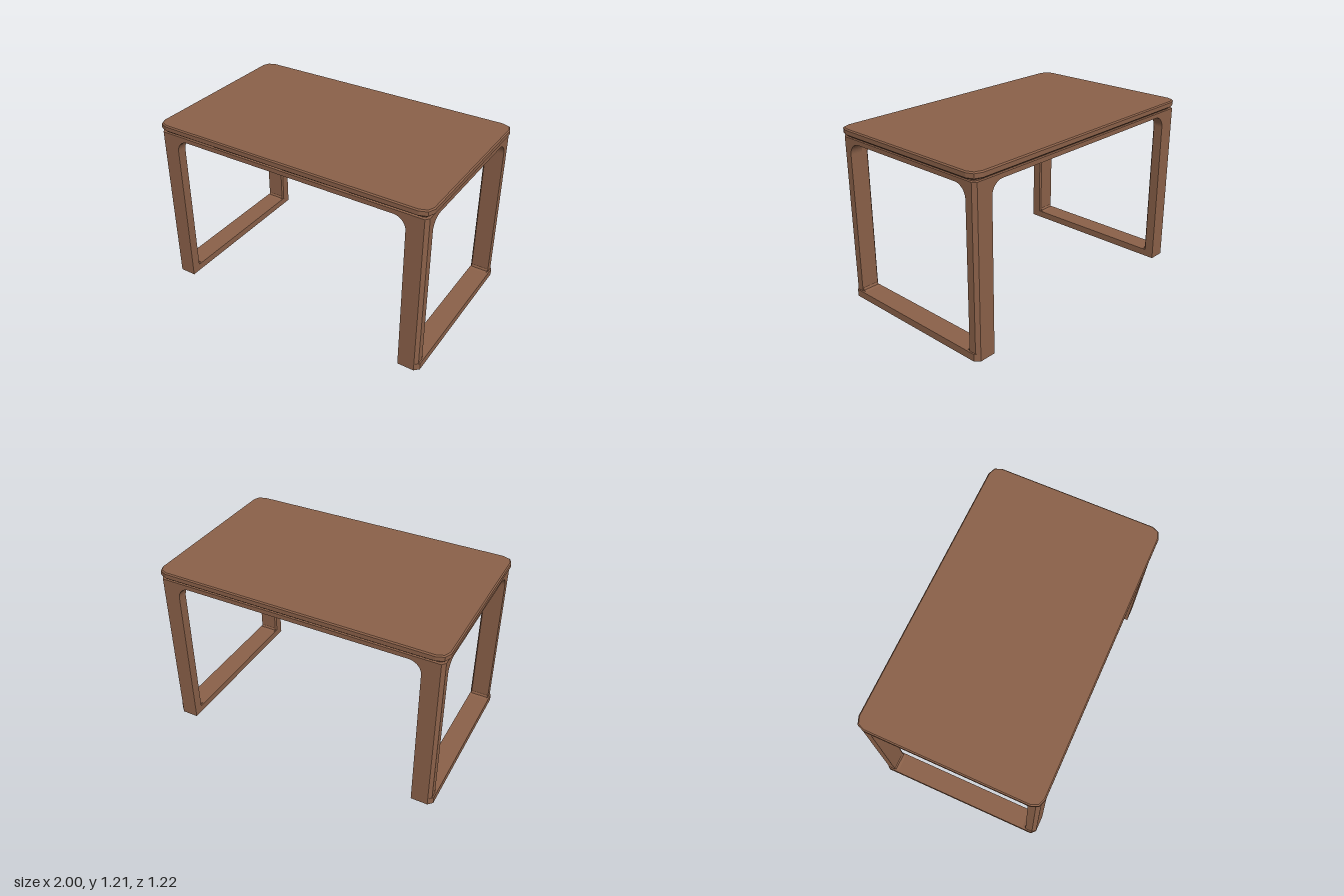
import * as THREE from 'three';

const wood = new THREE.MeshStandardMaterial({ color: 0x8b6149 });
wood.name = 'walnutBrown';

function shapeOf(points) {
  return new THREE.Shape(points.map(([x, y]) => new THREE.Vector2(x, y)));
}

function addMesh(parent, name, geometry) {
  const mesh = new THREE.Mesh(geometry, wood);
  mesh.name = name;
  parent.add(mesh);
  return mesh;
}

// Extrudes a plan outline (x, z) upward from y0 to y1, with an optional bevel
function plan(shape, y0, y1, bevel = 0) {
  const g = new THREE.ExtrudeGeometry(shape, {
    depth: y1 - y0 - 2 * bevel,
    bevelEnabled: bevel > 0, bevelSize: bevel, bevelThickness: bevel, bevelSegments: 1,
  });
  g.rotateX(-Math.PI / 2);
  g.translate(0, y0 + bevel, 0);
  return g;
}

// Rectangle with two-step clipped corners
function clippedRect(w, d, cx, cz) {
  const corner = [[w, d - cz], [w - cx * 0.28, d - cz * 0.3], [w - cx, d]];
  const flip = (sx, sz) => corner.map(([x, z]) => [x * sx, z * sz]);
  return shapeOf([
    ...flip(1, 1), ...flip(-1, 1).reverse(), ...flip(-1, -1), ...flip(1, -1).reverse(),
  ]);
}

// Rail whose lower edge curves down into the legs at both ends
function archedRail(half, radius, depth) {
  const s = new THREE.Shape();
  const end = half + 0.02, low = 1.12 - radius, top = 1.15;
  s.moveTo(-end, top);
  s.lineTo(-end, low);
  s.lineTo(-half, low);
  s.absarc(-half + radius, low, radius, Math.PI, Math.PI / 2, true);
  s.absarc(half - radius, low, radius, Math.PI / 2, 0, true);
  s.lineTo(end, low);
  s.lineTo(end, top);
  s.closePath();
  return new THREE.ExtrudeGeometry(s, { depth, bevelEnabled: false, curveSegments: 8 });
}

export function createModel() {
  const table = new THREE.Group();
  table.name = 'table';

  // Table top with clipped corners and a fine edge bevel
  addMesh(table, 'tableTop', plan(clippedRect(0.992, 0.604, 0.065, 0.06), 1.165, 1.21, 0.008));

  // Recessed neck between the top and the aprons
  const neck = clippedRect(0.97, 0.582, 0.03, 0.03);
  neck.holes.push(new THREE.Path(clippedRect(0.905, 0.53, 0.03, 0.03).getPoints()));
  addMesh(table, 'neck', plan(neck, 1.14, 1.17));

  for (const s of [1, -1]) {
    // Front and back aprons
    const apron = addMesh(table, s > 0 ? 'frontApron' : 'backApron', archedRail(0.85, 0.085, 0.07));
    apron.position.z = s > 0 ? 0.53 : -0.6;

    // End aprons
    const endApron = addMesh(table, s > 0 ? 'leftApron' : 'rightApron', archedRail(0.525, 0.085, 0.085));
    endApron.rotation.y = Math.PI / 2;
    endApron.position.x = s > 0 ? 0.9 : -0.985;

    // Floor runner joining each pair of legs
    const foot = [
      [0.85, -0.6], [0.965, -0.6], [0.995, -0.57], [0.995, 0.57], [0.965, 0.6], [0.85, 0.6],
    ];
    addMesh(table, s > 0 ? 'leftRunner' : 'rightRunner',
      plan(shapeOf(foot.map(([x, z]) => [x * s, z])), 0, 0.05));

    for (const t of [1, -1]) {
      const side = (t > 0 ? 'front' : 'back') + (s > 0 ? 'Left' : 'Right');
      // Leg with its outer edge chamfered
      const section = [
        [0.85, 0.535], [0.86, 0.525], [0.985, 0.525], [0.985, 0.575], [0.965, 0.6], [0.85, 0.6],
      ];
      // Plan outlines are flipped in z when laid down
      addMesh(table, side + 'Leg',
        plan(shapeOf(section.map(([x, z]) => [x * s, -z * t])), 0.02, 1.15));

      // Small cove where the leg meets the runner
      const cove = addMesh(table, side + 'Cove', new THREE.ExtrudeGeometry(
        shapeOf([[0.53, 0.04], [0.53, 0.075], [0.524, 0.07], [0.518, 0.056], [0.5, 0.05], [0.5, 0.04]]
          .map(([z, y]) => [-z * t, y])),
        { depth: 0.12, bevelEnabled: false }));
      cove.rotation.y = Math.PI / 2;
      cove.position.x = s > 0 ? 0.86 : -0.98;
    }
  }
  return table;
}
